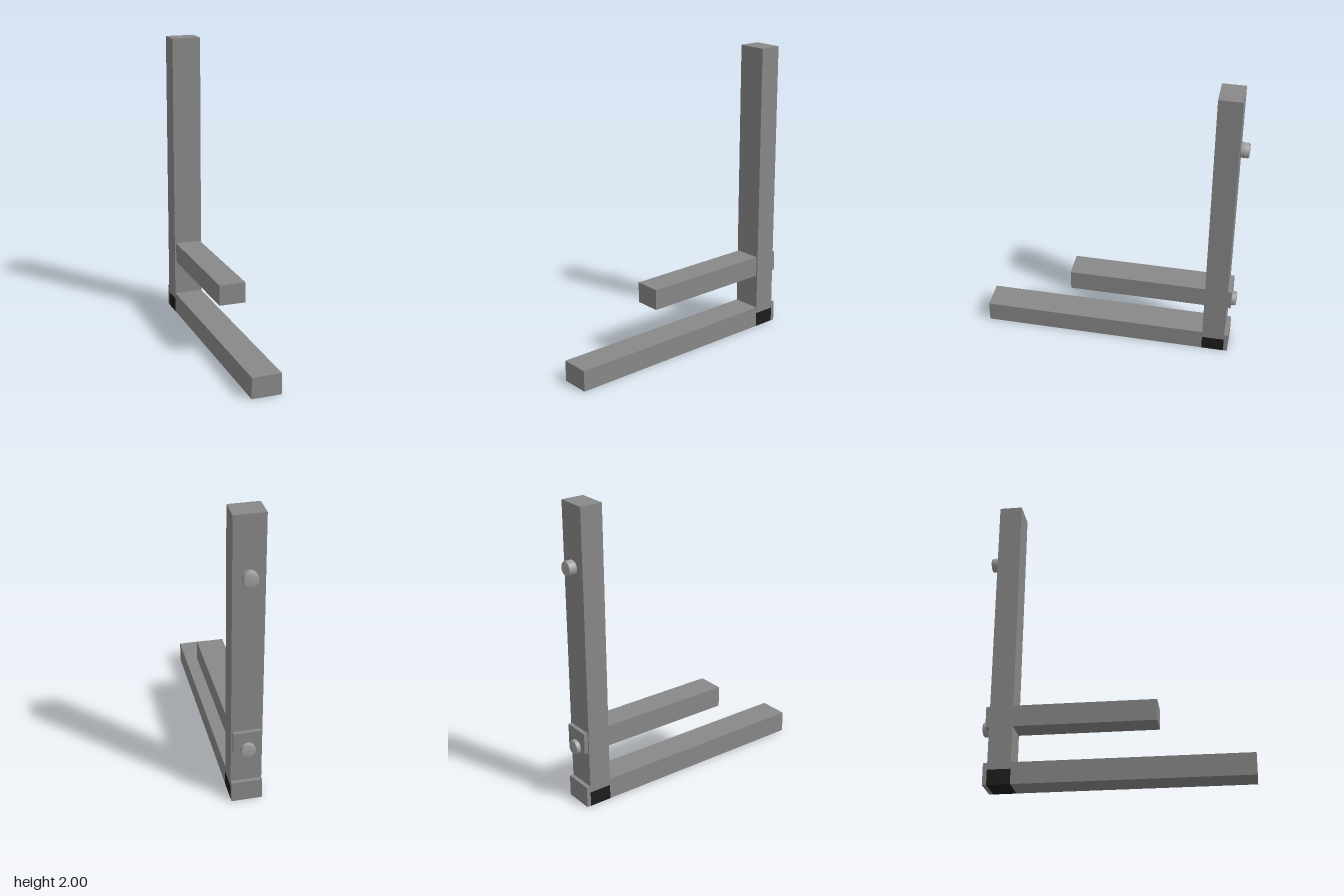
import * as THREE from 'three';

export function createModel() {
  const group = new THREE.Group();
  const paint = (name, color) => {
    const m = new THREE.MeshStandardMaterial({ color });
    m.name = name;
    return m;
  };
  const grey = paint('grey frame', 0x888888);
  const steel = paint('light steel', 0xa0a0a0);
  const black = paint('black foot', 0x1c1c1c);

  // box given by its width and its y and z limits, centred on x = 0
  function bar(name, width, y0, y1, z0, z1, material) {
    const mesh = new THREE.Mesh(new THREE.BoxGeometry(width, y1 - y0, z1 - z0), material);
    mesh.position.set(0, (y0 + y1) / 2, (z0 + z1) / 2);
    mesh.name = name;
    group.add(mesh);
  }

  // frame bars; the upper arm passes through the post and shows behind it
  bar('post', 0.2, 0.1, 2, -0.808, -0.657, grey);
  bar('baseBeam', 0.199, 0.0005, 0.143, -0.835, 0.867, grey);
  bar('upperArm', 0.18, 0.385, 0.525, -0.835, 0.265, grey);

  // black foot of the post, just proud of the base beam
  bar('postFoot', 0.2, 0, 0.1, -0.808, -0.657, black);

  // bolt heads with slightly bevelled rims on the back of the post
  const profile = [[0, 0], [0.042, 0], [0.048, 0.007], [0.048, 0.05], [0.042, 0.057], [0, 0.057]]
    .map(([r, h]) => new THREE.Vector2(r, h));
  const boltGeometry = new THREE.LatheGeometry(profile, 24);
  for (const [name, y] of [['upperBolt', 1.606], ['lowerBolt', 0.402]]) {
    const bolt = new THREE.Mesh(boltGeometry, steel);
    bolt.rotation.x = -Math.PI / 2;
    bolt.position.set(0, y, -0.808);
    bolt.name = name;
    group.add(bolt);
  }
  return group;
}
